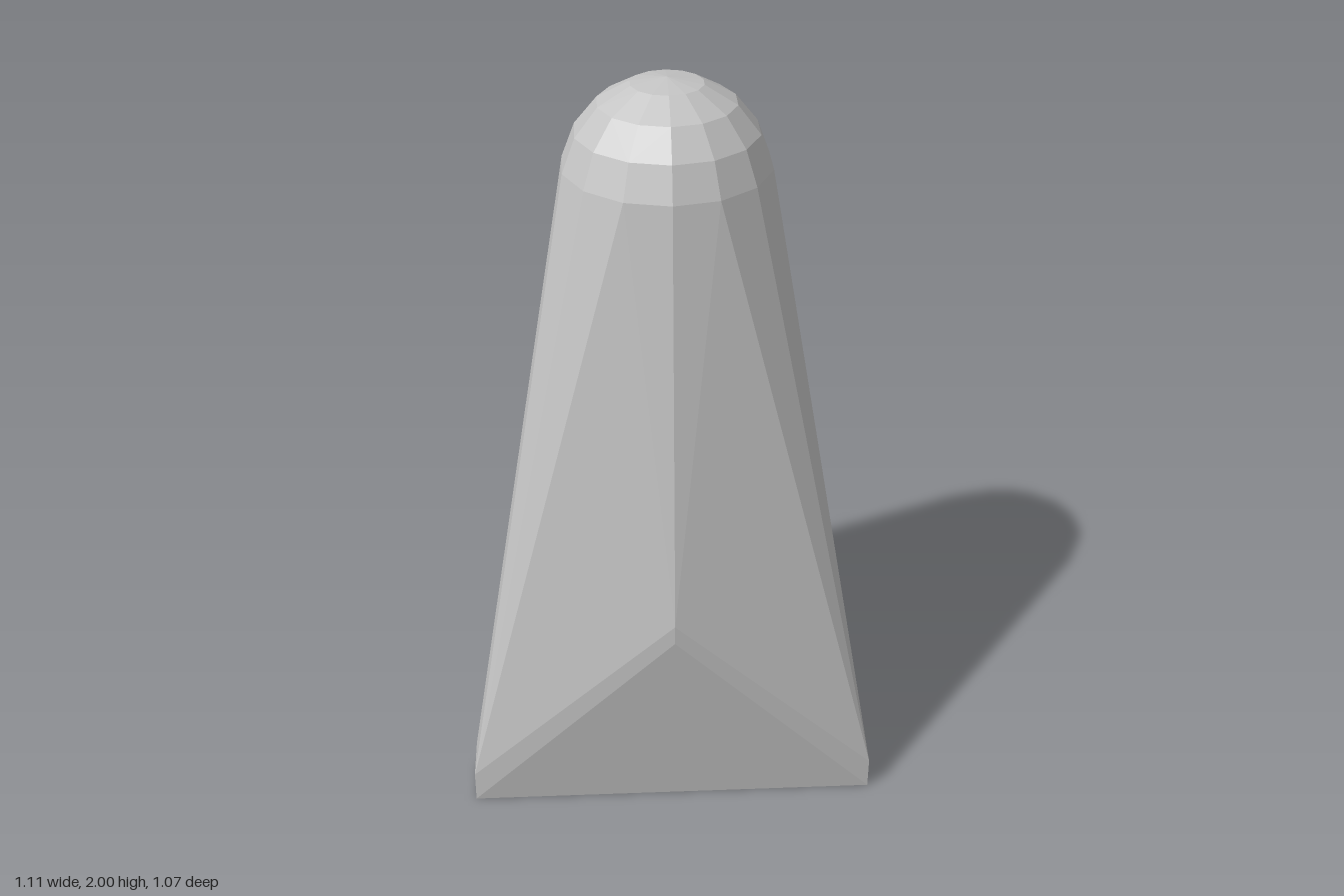
import * as THREE from 'three';
import { ConvexGeometry } from 'three/addons/geometries/ConvexGeometry.js';

export function createModel() {
  const group = new THREE.Group();
  const stone = new THREE.MeshStandardMaterial({ color: 0xc4c4c4, flatShading: true });
  stone.name = 'pale grey';
  const points = [];
  const add = (x, y, z) => points.push(new THREE.Vector3(x, y, z));

  // Three squared-off feet, each with a short vertical edge
  for (const side of [-1, 1]) {
    for (const y of [0, 0.09]) {
      add(side * 0.557, y, 0.45);
      add(side * 0.557, y, 0.317);
      add(side * 0.067, y, -0.535);
    }
  }

  // Bulging ridge point in the middle of each of the three faces
  for (const y of [0.595, 0.65]) {
    add(0, y, 0.532);
    for (const side of [-1, 1]) add(side * 0.375, y, -0.118);
  }

  // Rounded cap, fourteen sides: [radius, height] of each ring
  const axisZ = 0.1, sides = 14;
  const rings = [[0.27, 1.775], [0.236, 1.865], [0.177, 1.938], [0.093, 1.985]];
  for (const [r, y] of rings) {
    for (let i = 0; i < sides; i++) {
      const a = (i / sides) * Math.PI * 2;
      add(Math.sin(a) * r, y, axisZ + Math.cos(a) * r);
    }
  }
  add(0, 2, axisZ);

  // The body is the faceted skin stretched over feet, ridges and cap
  const body = new THREE.Mesh(new ConvexGeometry(points), stone);
  body.name = 'taperedBody';
  group.add(body);
  return group;
}
